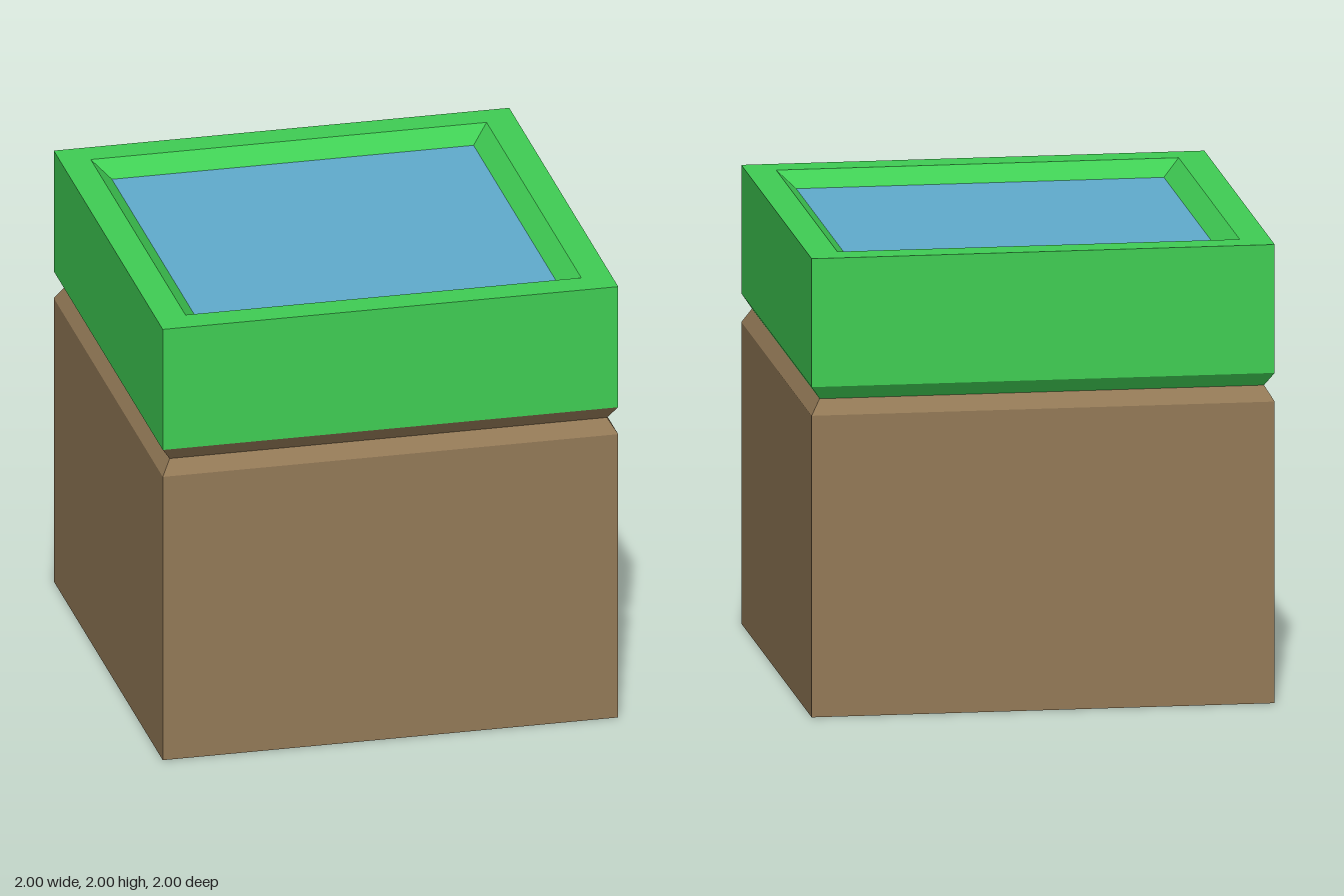
import * as THREE from 'three';

const mat = (name, color) => {
  const m = new THREE.MeshStandardMaterial({ color });
  m.name = name;
  return m;
};

// Four flat faces joining a lower square (half-width lo at y0) to an upper one (hi at y1).
// Face order: +x, -z, -x, +z. Inward bands face the centre.
function band(lo, y0, hi, y1, inward = false) {
  const r = Math.SQRT2;
  let g = new THREE.CylinderGeometry(hi * r, lo * r, y1 - y0, 4, 1, true);
  g.rotateY(Math.PI / 4);
  g.translate(0, (y0 + y1) / 2, 0);
  if (inward) g.scale(-1, 1, 1);
  g = g.toNonIndexed();
  g.computeVertexNormals();
  g.clearGroups();
  for (let i = 0; i < 4; i++) g.addGroup(i * 6, 6, i);
  return g;
}

// Horizontal square facing up or down
function square(half, y, up) {
  const g = new THREE.PlaneGeometry(half * 2, half * 2);
  g.rotateX(up ? -Math.PI / 2 : Math.PI / 2);
  g.translate(0, y, 0);
  return g;
}

export function createModel() {
  const grass = mat('grass green', 0x40ce54);
  const soil = mat('soil brown', 0x947a57);
  const water = mat('water blue', 0x60acce);

  const group = new THREE.Group();
  group.name = 'pondBlock';
  const add = (name, geometry, material) => {
    const m = new THREE.Mesh(geometry, material);
    m.name = name;
    group.add(m);
  };

  // Soil base with a bevelled shoulder
  add('soilBottom', square(1, 0, false), soil);
  add('soilSides', band(1, 0, 1, 1.315), Array(4).fill(soil));
  add('soilShoulder', band(1, 1.315, 0.96, 1.38), Array(4).fill(soil));

  // Grass layer; its undercut is soil coloured on the front only
  add('grassUndercut', band(0.96, 1.38, 1, 1.44), [grass, grass, grass, soil]);
  add('grassSides', band(1, 1.44, 1, 2), Array(4).fill(grass));
  add('grassRim', band(1, 2, 0.869, 2), Array(4).fill(grass));

  // Sloped bank and water surface
  add('pondBank', band(0.794, 1.932, 0.869, 2, true), Array(4).fill(grass));
  add('waterSurface', square(0.794, 1.932, true), water);

  return group;
}
